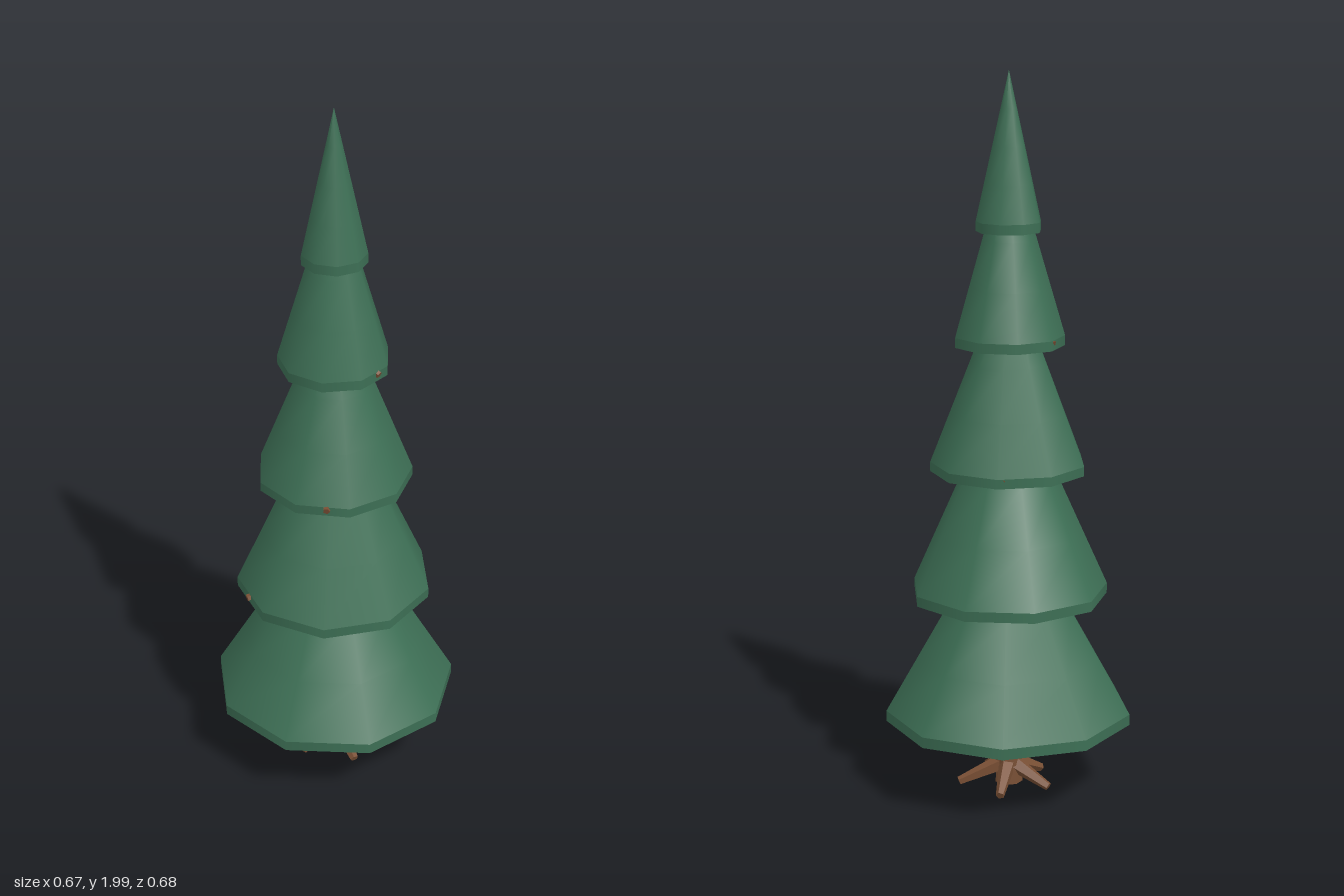
import * as THREE from 'three';

const AXIS_X = -0.011; // the trunk axis sits slightly off centre
const rad = THREE.MathUtils.degToRad;

export function createModel() {
  const foliage = new THREE.MeshStandardMaterial({ color: 0x3d6f55, side: THREE.DoubleSide });
  foliage.name = 'pineGreen';
  const bark = new THREE.MeshStandardMaterial({ color: 0x7a5035, flatShading: true });
  bark.name = 'barkBrown';

  const tree = new THREE.Group();
  tree.name = 'tree';
  const body = new THREE.Group();
  body.name = 'treeBody';
  body.position.x = AXIS_X;
  tree.add(body);

  const add = (parent, name, geometry, material) => {
    const mesh = new THREE.Mesh(geometry, material);
    mesh.name = name;
    parent.add(mesh);
    return mesh;
  };

  // Tapered round limb running between two points
  const limb = (name, from, to, r0, r1, sides) => {
    const dir = to.clone().sub(from);
    const mesh = add(body, name, new THREE.CylinderGeometry(r1, r0, dir.length(), sides), bark);
    mesh.position.copy(from).addScaledVector(dir, 0.5);
    mesh.quaternion.setFromUnitVectors(new THREE.Vector3(0, 1, 0), dir.normalize());
  };

  // Point at a heading (degrees from +x towards +z), distance and height
  const polar = (deg, r, y) => new THREE.Vector3(Math.cos(rad(deg)) * r, y, Math.sin(rad(deg)) * r);

  // Trunk
  limb('trunk', new THREE.Vector3(0, 0.012, 0), new THREE.Vector3(0, 1.6, 0), 0.039, 0.015, 7);

  // Five roots spreading from the trunk foot
  [0.141, 0.138, 0.127, 0.127, 0.13].forEach((reach, i) => {
    limb('root', polar(i * 72, 0.015, 0.068), polar(i * 72, reach, 0.016), 0.025, 0.012, 5);
  });

  // Hollow nine-sided tiers: rim height, lip height, apex height, rim radius,
  // heading of the first corner, heading of the branch pair
  const tiers = [
    [0.205, 0.03, 0.83, 0.344, 0, null],
    [0.56, 0.028, 1.2, 0.274, -17.2, 163],
    [0.915, 0.026, 1.49, 0.215, 5.5, 102.5],
    [1.265, 0.027, 1.81, 0.152, -11.4, 43],
    [1.573, 0.027, 2.0, 0.089, 11.7, null],
  ];
  for (const [rim, lip, apex, radius, corner, branch] of tiers) {
    const tier = new THREE.Group();
    tier.name = 'foliageTier';
    body.add(tier);
    const start = rad(90 - corner);
    const coneHeight = apex - rim - lip;
    const cone = add(tier, 'foliageCone',
      new THREE.CylinderGeometry(0, radius, coneHeight, 9, 4, true, start), foliage);
    cone.position.y = rim + lip + coneHeight / 2;
    const edge = add(tier, 'foliageLip',
      new THREE.CylinderGeometry(radius, radius, lip, 9, 1, true, start), foliage);
    edge.position.y = rim + lip / 2;

    // Opposed branches whose tips poke out at the rim
    if (branch !== null) {
      for (const turn of [0, 180]) {
        limb('branch', polar(branch + turn, 0.01, rim + 0.07),
          polar(branch + turn, radius * 0.97, rim + 0.017), 0.014, 0.01, 5);
      }
    }
  }
  return tree;
}
